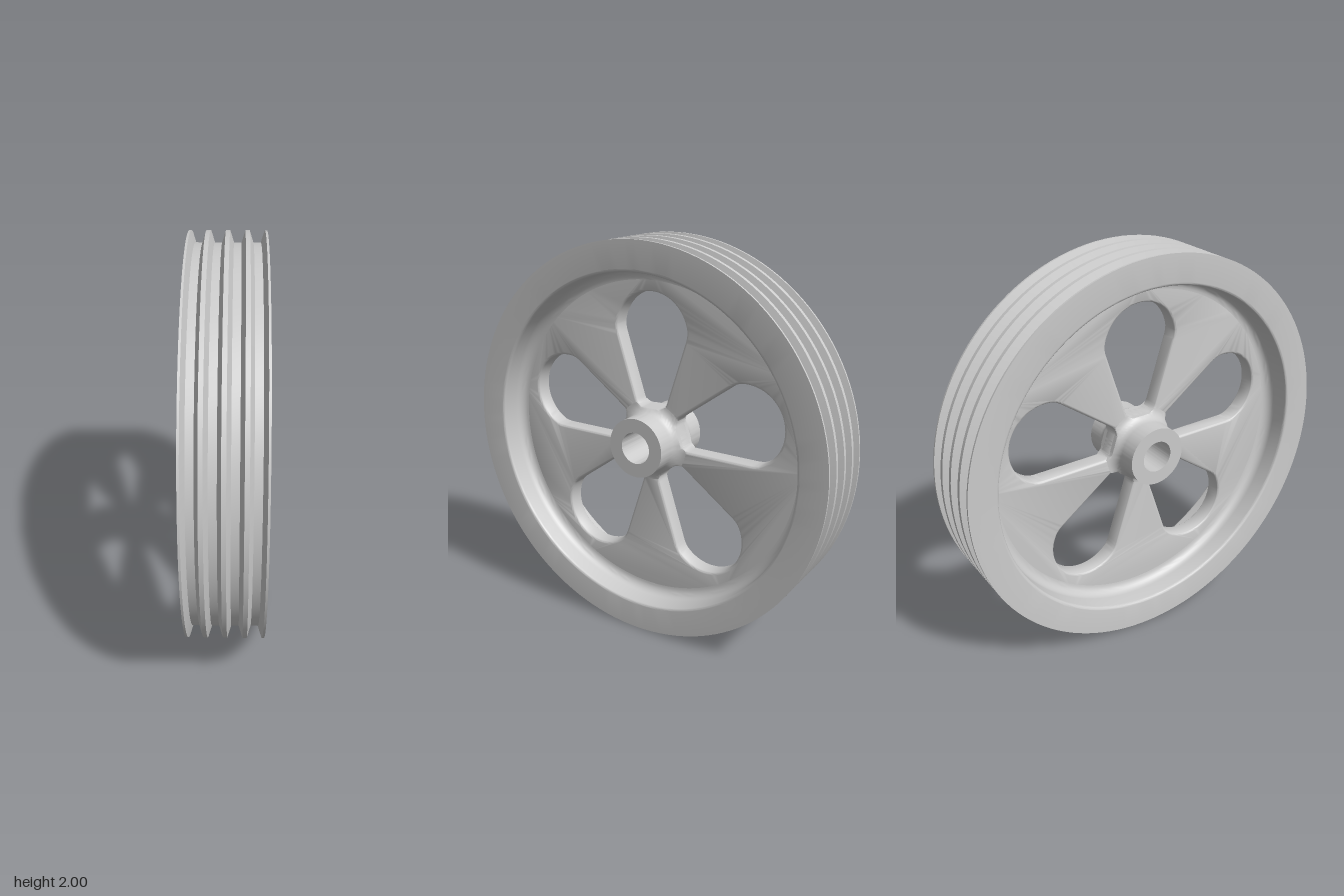
import * as THREE from 'three';
import { toCreasedNormals } from 'three/addons/utils/BufferGeometryUtils.js';

const HALF = 0.185;       // half width of rim and hub
const WEB = 0.045;        // half thickness of the web
const HOLES = 5;
const STEP = (Math.PI * 2) / HOLES;
const HOLE_IN = 0.17;     // flat inner edge of each hole
const material = new THREE.MeshStandardMaterial({ color: 0xcccccc });

const V = (x, y) => new THREE.Vector2(x, y);

// Quarter-style arc of profile points (radius, axial)
function arc(cr, cx, radius, from, to, n = 8) {
  return Array.from({ length: n + 1 }, (_, i) => {
    const a = from + ((to - from) * i) / n;
    return V(cr + radius * Math.cos(a), cx + radius * Math.sin(a));
  });
}

// Half profile (positive axial side) followed by its mirror image
const mirrored = (pts) => [...pts, ...pts.slice().reverse().map((p) => V(p.x, -p.y))];

function addMesh(group, name, geometry) {
  const mesh = new THREE.Mesh(geometry, material);
  mesh.name = name;
  group.add(mesh);
  return mesh;
}

// Rim: four V-grooves outside, rounded lip and large fillet inside
function rimGeometry() {
  const pts = [V(1, -HALF)];
  for (let i = 0; i < 4; i++) {
    const c = (i - 1.5) * 0.0925;
    pts.push(V(1, c - 0.036), V(0.943, c - 0.018), V(0.943, c + 0.018), V(1, c + 0.036));
  }
  pts.push(V(1, HALF));
  const lip = arc(0.865, HALF - 0.015, 0.015, Math.PI / 2, Math.PI, 5);
  const fillet = arc(0.8, WEB + 0.05, 0.05, 0, -Math.PI / 2);
  pts.push(...mirrored([...lip, ...fillet]), V(1, -HALF));
  return toCreasedNormals(new THREE.LatheGeometry(pts, 128), 0.45);
}

// Hub: bored boss with fillets, trimmed where the web holes cut into it
function hubGeometry() {
  const half = [V(0.08, HALF), V(0.15, HALF), ...arc(0.205, WEB + 0.055, 0.055, Math.PI, Math.PI * 1.5)];
  const pts = mirrored(half).reverse();
  pts.push(pts[0].clone());
  const geo = new THREE.LatheGeometry(pts, 120);
  const pos = geo.attributes.position;
  for (let i = 0; i < pos.count; i++) {
    const x = pos.getX(i), z = pos.getZ(i);
    const r = Math.hypot(x, z);
    const a = Math.atan2(z, -x);
    const d = Math.abs(a - Math.round(a / STEP) * STEP);
    // Past the hole corner the fillet runs on to the spoke
    const limit = HOLE_IN / Math.cos(d) + Math.max(0, d - 0.33) * 0.2;
    if (r > limit) {
      pos.setX(i, (x * limit) / r);
      pos.setZ(i, (z * limit) / r);
    }
  }
  return toCreasedNormals(geo, 0.5);
}

// Teardrop hole: flat inner edge, 18 degree flanks, round outer end
function holePath(angle) {
  const put = (v, u) => V(v * Math.cos(angle) - u * Math.sin(angle), v * Math.sin(angle) + u * Math.cos(angle));
  const flank = (u) => 0.325 * u + 0.021;
  const corner = (a, b, c) => new THREE.QuadraticBezierCurve(put(...a), put(...b), put(...c)).getPoints(6);
  const R = 0.2, cu = 0.545;
  const pts = [...corner([0.045, HOLE_IN], [flank(HOLE_IN), HOLE_IN], [flank(0.205), 0.205])];
  pts.push(...corner([flank(0.52), 0.52], [0.199, 0.547], [R * Math.cos(0.13), cu + R * Math.sin(0.13)]));
  for (let i = 1; i < 32; i++) {
    const a = 0.13 + ((Math.PI - 0.26) * i) / 32;
    pts.push(put(R * Math.cos(a), cu + R * Math.sin(a)));
  }
  pts.push(...corner([-R * Math.cos(0.13), cu + R * Math.sin(0.13)], [-0.199, 0.547], [-flank(0.52), 0.52]));
  pts.push(...corner([-flank(0.205), 0.205], [-flank(HOLE_IN), HOLE_IN], [-0.045, HOLE_IN]));
  return new THREE.Path(pts);
}

// Web: disc with five holes whose edges are softly rounded
function webGeometry() {
  const shape = new THREE.Shape().absarc(0, 0, 0.87, 0, Math.PI * 2);
  shape.holes.push(new THREE.Path().absarc(0, 0, 0.12, 0, Math.PI * 2, true));
  for (let i = 0; i < HOLES; i++) shape.holes.push(holePath(i * STEP));
  const bevel = 0.014;
  const geo = new THREE.ExtrudeGeometry(shape, {
    depth: 2 * (WEB - bevel), curveSegments: 48, bevelEnabled: true,
    bevelThickness: bevel, bevelSize: bevel, bevelOffset: -bevel, bevelSegments: 4,
  });
  geo.translate(0, 0, -(WEB - bevel));
  return toCreasedNormals(geo, 0.6);
}

export function createModel() {
  const wheel = new THREE.Group();
  wheel.name = 'grooved pulley wheel';
  addMesh(wheel, 'rim', rimGeometry()).rotation.z = -Math.PI / 2;
  addMesh(wheel, 'hub', hubGeometry()).rotation.z = -Math.PI / 2;
  addMesh(wheel, 'web', webGeometry()).rotation.y = Math.PI / 2;
  wheel.position.y = 1;
  const model = new THREE.Group();
  model.name = 'pulley';
  model.add(wheel);
  return model;
}
